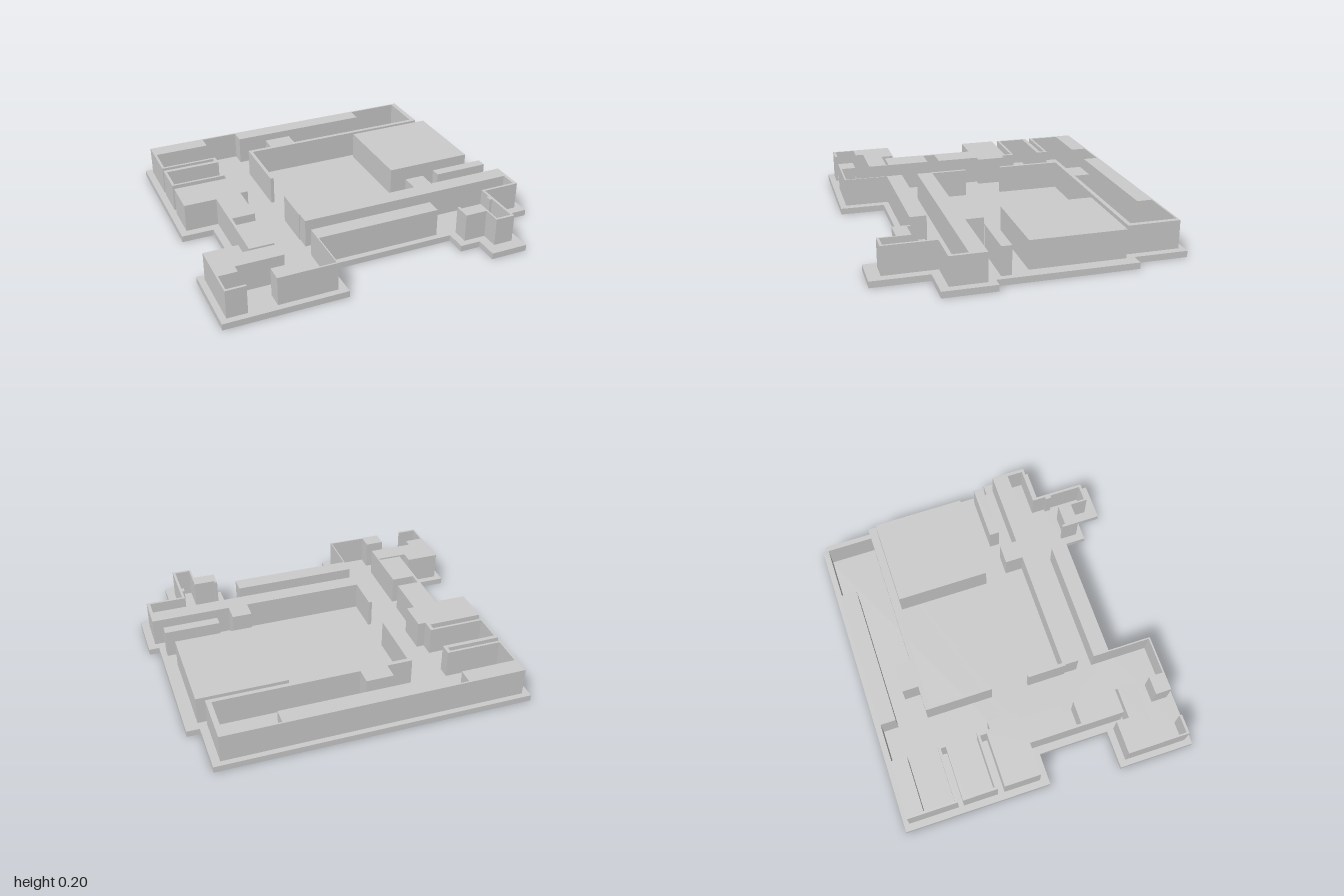
import * as THREE from 'three';

const PLATE = 0.037, TOP = 0.203;

export function createModel() {
  const group = new THREE.Group();
  const material = new THREE.MeshStandardMaterial({ color: 0xcccccc });

  // Extrudes a plan outline of [x, z] corners from height y0 to y1
  function slab(name, corners, y0 = PLATE, y1 = TOP) {
    const shape = new THREE.Shape(corners.map(([x, z]) => new THREE.Vector2(x, -z)));
    const geometry = new THREE.ExtrudeGeometry(shape, { depth: y1 - y0, bevelEnabled: false });
    geometry.rotateX(-Math.PI / 2).translate(0, y0, 0);
    const mesh = new THREE.Mesh(geometry, material);
    mesh.name = name;
    group.add(mesh);
  }
  const rect = (x0, z0, x1, z1) => [[x0, z0], [x1, z0], [x1, z1], [x0, z1]];

  // Ground plate
  slab('basePlate', [
    [-0.96, -0.867], [0.865, -0.867], [0.865, -0.555], [0.94, -0.555], [0.94, 0.24], [1, 0.24],
    [1, 0.54], [0.785, 0.54], [0.785, 0.867], [0.565, 0.867], [0.565, 0.73], [0.445, 0.73],
    [0.445, 0.605], [-0.305, 0.605], [-0.305, 0.867], [-1, 0.867], [-1, 0.42], [-0.775, 0.42],
    [-0.775, 0], [-0.96, 0],
  ], 0, PLATE);

  // Back and side wings: one continuous run of walls and solid rooms
  slab('backAndSideWings', [
    // outside of the back wing, then the courtyard wall
    [-0.92, -0.835], [0.82, -0.835], [0.82, -0.53], [-0.34, -0.53], [-0.34, -0.155],
    [-0.36, -0.155], [-0.36, -0.555], [-0.21, -0.555], [-0.21, -0.65], [-0.05, -0.65],
    [-0.05, -0.555], [0.79, -0.555],
    // inside of the back wall
    [0.79, -0.825], [0.48, -0.825], [0.48, -0.735], [-0.36, -0.735], [-0.36, -0.825],
    [-0.58, -0.825], [-0.58, -0.735],
    // rooms along the corridor
    [-0.905, -0.735], [-0.905, -0.555], [-0.58, -0.555], [-0.58, -0.485], [-0.905, -0.485],
    [-0.905, -0.32], [-0.58, -0.32], [-0.58, -0.24], [-0.535, -0.24], [-0.535, -0.065],
    [-0.58, -0.065], [-0.58, 0.19], [-0.715, 0.19], [-0.715, 0.265], [-0.58, 0.265],
    // front corner room
    [-0.58, 0.645], [-0.85, 0.645], [-0.85, 0.695], [-0.955, 0.695], [-0.955, 0.815],
    [-0.85, 0.815], [-0.85, 0.83], [-0.965, 0.83], [-0.965, 0.46], [-0.77, 0.46],
    // outer face with the narrow gaps between buildings
    [-0.77, 0.535], [-0.59, 0.535], [-0.59, 0.52], [-0.73, 0.52], [-0.73, -0.05],
    [-0.92, -0.05], [-0.92, -0.265], [-0.6, -0.265], [-0.6, -0.305], [-0.92, -0.305],
    [-0.92, -0.51], [-0.6, -0.51], [-0.6, -0.54], [-0.92, -0.54],
  ]);

  // Front wing with its gate block and porch walls
  slab('frontWing', [
    [-0.36, 0.07], [-0.34, 0.07], [-0.34, 0.285], [0.375, 0.285], [0.375, 0.18], [0.49, 0.18],
    [0.49, 0.285], [0.955, 0.285], [0.955, 0.49], [0.735, 0.49], [0.735, 0.795], [0.62, 0.795],
    [0.62, 0.69], [0.49, 0.69], [0.49, 0.59], [0.505, 0.59], [0.505, 0.61], [0.63, 0.61],
    [0.63, 0.78], [0.72, 0.78], [0.72, 0.59], [0.705, 0.59], [0.705, 0.555], [0.72, 0.555],
    [0.72, 0.475], [0.935, 0.475], [0.935, 0.38], [-0.355, 0.38], [-0.355, 0.3], [-0.36, 0.3],
  ]);

  // Front row and the wall that turns around the corner room
  slab('frontRow', [
    [-0.36, 0.475], [0.375, 0.475], [0.375, 0.57], [-0.353, 0.57], [-0.353, 0.83], [-0.69, 0.83],
    [-0.69, 0.735], [-0.58, 0.735], [-0.58, 0.82], [-0.36, 0.82],
  ]);

  // Free-standing blocks in the courtyard
  slab('hall', rect(0.347, -0.505, 0.867, 0.043));
  slab('shed', rect(0.58, 0.145, 0.905, 0.203));

  return group;
}
